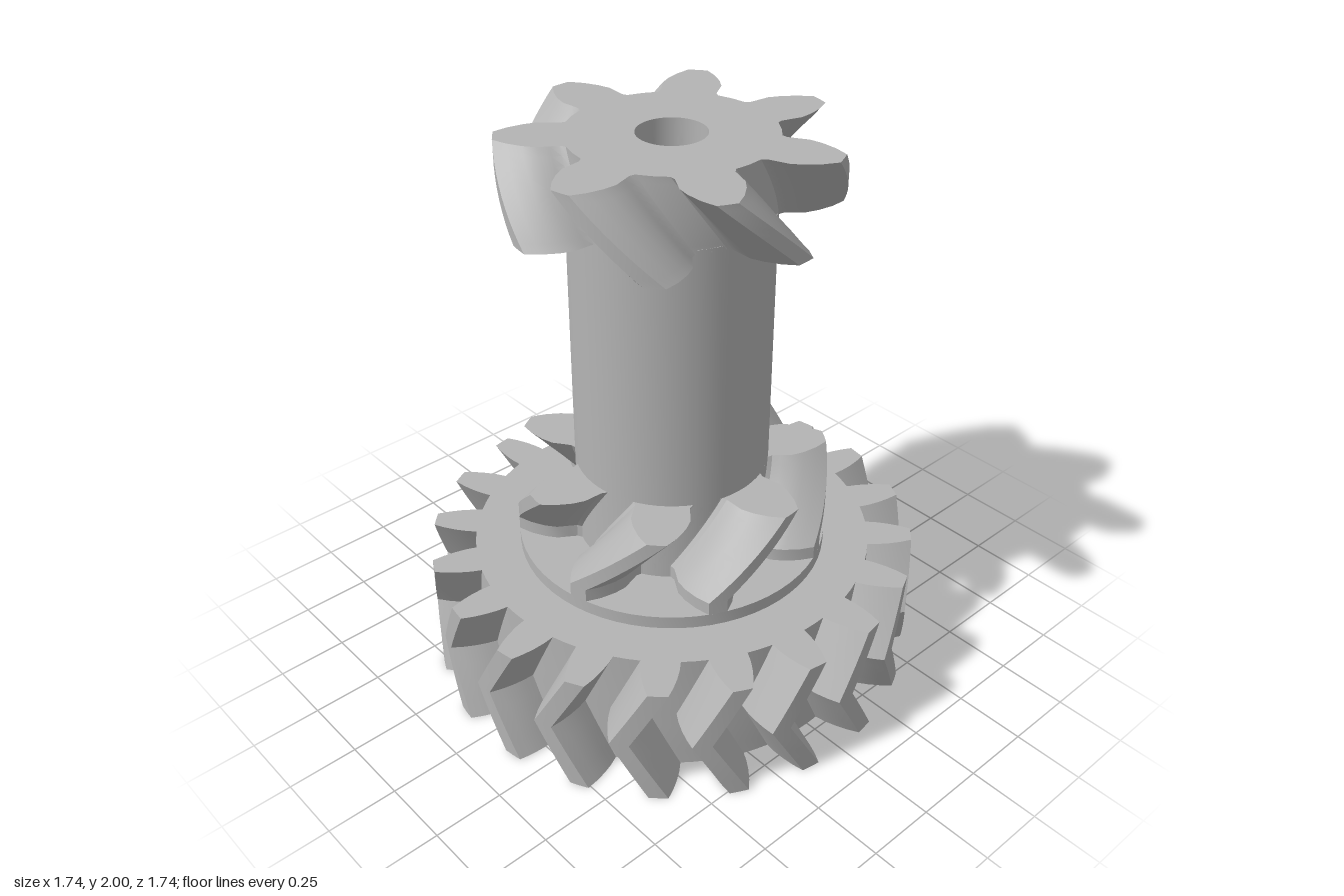
import * as THREE from 'three';
import { toCreasedNormals } from 'three/addons/utils/BufferGeometryUtils.js';

const DEG = Math.PI / 180;
const BORE = 0.115;

// Gear outline with a gap centred on +x; flank is a list of [radius, half angle in degrees], root to tip
function gearShape(teeth, flank) {
  const points = [];
  const add = (r, a) => points.push(new THREE.Vector2(r * Math.cos(a), r * Math.sin(a)));
  const pitch = (Math.PI * 2) / teeth;
  for (let i = 0; i < teeth; i++) {
    const mid = (i + 0.5) * pitch;
    add(flank[0][0], i * pitch);
    flank.forEach(([r, h]) => add(r, mid - h * DEG));
    add(flank[flank.length - 1][0], mid);
    [...flank].reverse().forEach(([r, h]) => add(r, mid + h * DEG));
  }
  return new THREE.Shape(points);
}

function discShape(radius) {
  return new THREE.Shape().absarc(0, 0, radius, 0, Math.PI * 2);
}

// Extrudes a bored shape from y0 to y1 and turns each level by twist(t) degrees
function boredSolid(shape, y0, y1, twist, steps = 1) {
  const height = y1 - y0;
  shape.holes = [new THREE.Path().absarc(0, 0, BORE, 0, Math.PI * 2, true)];
  const geometry = new THREE.ExtrudeGeometry(shape, {
    depth: height, steps, bevelEnabled: false, curveSegments: 32,
  });
  geometry.rotateX(-Math.PI / 2);
  if (twist) {
    const p = geometry.attributes.position;
    for (let i = 0; i < p.count; i++) {
      const x = p.getX(i), y = p.getY(i), z = p.getZ(i);
      const a = twist(y / height) * DEG;
      p.setXYZ(i, x * Math.cos(a) + z * Math.sin(a), y, z * Math.cos(a) - x * Math.sin(a));
    }
  }
  geometry.translate(0, y0, 0);
  return toCreasedNormals(geometry, 0.42);
}

export function createModel() {
  const model = new THREE.Group();
  model.name = 'gearShaft';
  const steel = new THREE.MeshStandardMaterial({ color: 0xb4b4b4 });
  steel.name = 'grey steel';

  const addPart = (name, geometry) => {
    const mesh = new THREE.Mesh(geometry, steel);
    mesh.name = name;
    model.add(mesh);
  };

  const wheelFlank = [[0.712, 5.3], [0.75, 4.9], [0.79, 4.2], [0.83, 3.3], [0.87, 2.2]];
  const pinionFlank = [
    [0.34, 17], [0.355, 15], [0.385, 14.2], [0.425, 13.4],
    [0.465, 10.8], [0.51, 7.2], [0.55, 3.4],
  ];
  const pinion = () => gearShape(7, pinionFlank);

  // Herringbone wheel: the teeth swing back to the middle, then forward again
  addPart('herringboneWheel', boredSolid(
    gearShape(20, wheelFlank), 0, 0.465, (t) => -8.5 * (1 - Math.abs(2 * t - 1)), 8));

  // Collar and shaft
  addPart('collar', boredSolid(discShape(0.55), 0.465, 0.512));
  addPart('shaft', boredSolid(discShape(0.34), 0.512, 1.76));

  // Lower pinion: short straight foot, then helical teeth
  addPart('lowerPinionFoot', boredSolid(pinion(), 0.512, 0.56));
  addPart('lowerPinion', boredSolid(pinion(), 0.56, 0.815, (t) => 30 * t, 10));

  // Upper pinion with the opposite helix
  addPart('upperPinion', boredSolid(pinion(), 1.747, 2, (t) => 30 * (1 - t), 10));

  return model;
}
